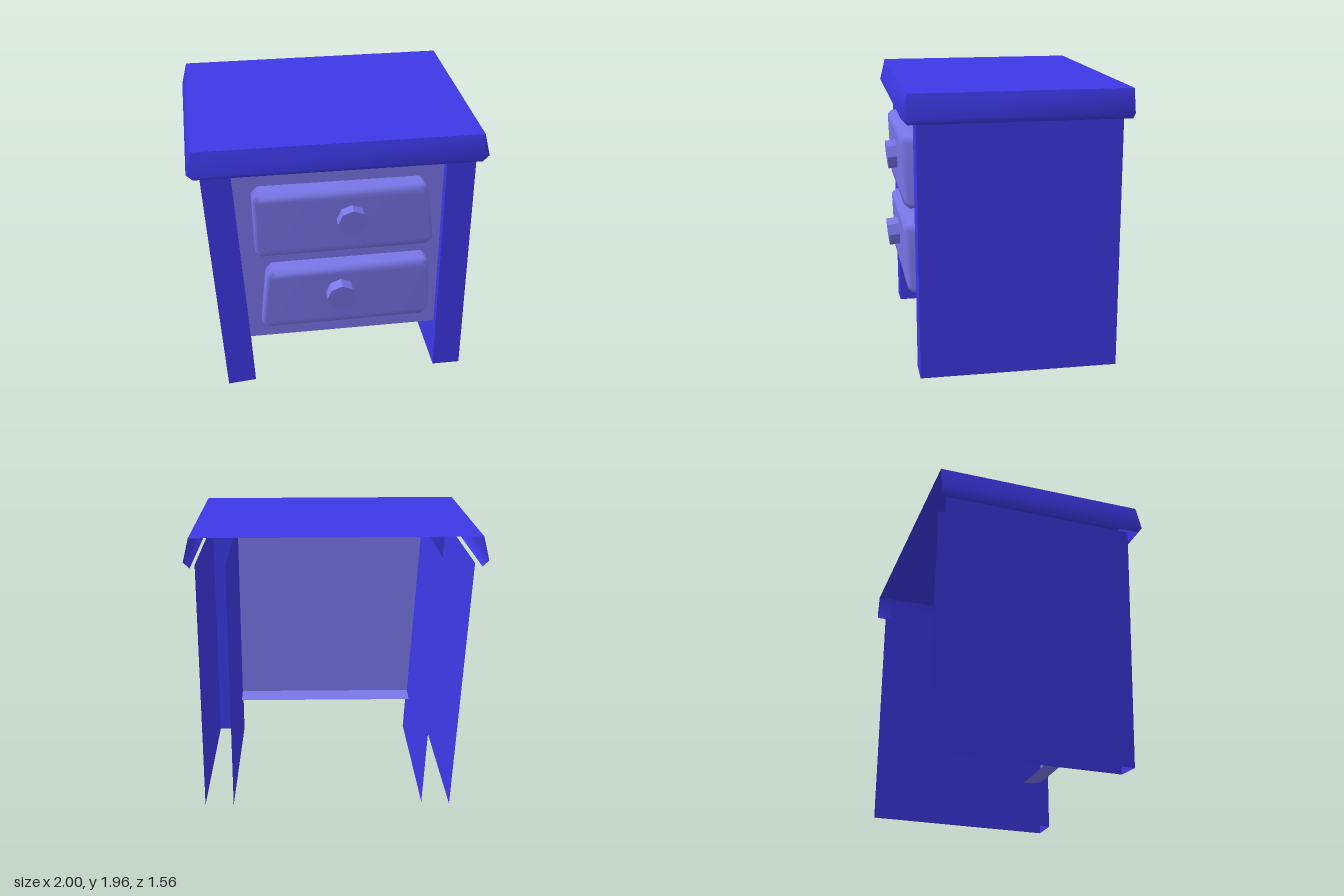
import * as THREE from 'three';

const material = (color, flatShading) =>
  new THREE.MeshStandardMaterial({ color, flatShading, side: THREE.DoubleSide });
const body = material(0x3d38e6, true);
const bodySmooth = material(0x3d38e6, false);
const pale = material(0x7875e8, true);
const paleSmooth = material(0x7875e8, false);

// Skin between rows of points; extra holds additional quads as corner indices.
function loft(name, mat, rows, closed = false, extra = []) {
  const n = rows[0].length;
  const index = [];
  const quad = (a, b, c, d) => index.push(a, b, c, a, c, d);
  for (let r = 0; r < rows.length - 1; r++) {
    for (let i = 0; i < (closed ? n : n - 1); i++) {
      const j = (i + 1) % n;
      quad(r * n + i, r * n + j, (r + 1) * n + j, (r + 1) * n + i);
    }
  }
  extra.forEach((q) => quad(...q));
  const geo = new THREE.BufferGeometry();
  geo.setAttribute('position', new THREE.Float32BufferAttribute(rows.flat(2), 3));
  geo.setIndex(index);
  geo.computeVertexNormals();
  const mesh = new THREE.Mesh(geo, mat);
  mesh.name = name;
  return mesh;
}

// Side support: a channel open at the back, top and bottom.
function sideSupport(name, bottom, top) {
  const section = ([x0, y0, x1, y1]) => [
    [x0, y0, -0.725], [x0, y0, 0.645], [x1, y1, 0.645], [x1, y1, -0.725],
  ];
  return loft(name, body, [section(bottom), section(top)]);
}

// Drawer front: crooked four-corner outline with cut corners and a bevelled rim.
// Corners run counterclockwise from the top right.
function drawerFront(name, corners, zTop, zBottom) {
  const yTop = corners[0][1], yBottom = corners[2][1];
  const cx = corners.reduce((s, c) => s + c[0], 0) / 4;
  const cy = corners.reduce((s, c) => s + c[1], 0) / 4;
  const cut = 0.045;
  const outline = [];
  corners.forEach(([x, y], k) => {
    const flat = [x - Math.sign(x - cx) * cut, y];
    const upright = [x, y - Math.sign(y - cy) * cut];
    outline.push(...(k % 2 ? [flat, upright] : [upright, flat]));
  });
  const row = (inset, depth) => outline.map(([x, y]) => {
    const t = (y - yBottom) / (yTop - yBottom);
    const z = depth === null ? 0.58 : zBottom + (zTop - zBottom) * t - depth;
    return [
      cx + (x - cx) * (1 - inset / 0.6),
      cy + (y - cy) * (1 - inset / 0.25),
      z,
    ];
  });
  const f = 16;
  const cap = [[1, 2, 3, 0], [0, 3, 4, 7], [7, 4, 5, 6]].map((q) => q.map((i) => i + f));
  return loft(name, paleSmooth, [row(0, null), row(0, 0.035), row(0.025, 0)], true, cap);
}

// Eight-sided knob, tipped slightly downwards.
function knob(name, x, y) {
  const mesh = new THREE.Mesh(new THREE.CylinderGeometry(0.103, 0.103, 0.09, 8), pale);
  mesh.rotation.x = Math.PI / 2 + 0.09;
  mesh.position.set(x, y, 0.73);
  mesh.name = name;
  return mesh;
}

export function createModel() {
  const group = new THREE.Group();
  group.name = 'nightstand';

  // Table top: flat sheet and a bevelled rim on three sides
  const ring = (y, xSide, zSide, xFront, zFront) => [
    [-xSide, y, -0.78], [-xSide, y, zSide], [-xFront, y, zFront],
    [xFront, y, zFront], [xSide, y, zSide], [xSide, y, -0.78],
  ];
  group.add(
    loft('topSheet', body, [
      [[-0.96, 1.96, 0.7], [0.96, 1.96, 0.7]],
      [[-0.96, 1.96, -0.78], [0.96, 1.96, -0.78]],
    ]),
    loft('topRim', bodySmooth, [
      ring(1.76, 0.957, 0.7, 0.955, 0.702),
      ring(1.8, 1, 0.7, 0.96, 0.74),
      ring(1.96, 0.96, 0.698, 0.958, 0.7),
    ]),
  );

  // Side supports, one of them leaning
  group.add(
    sideSupport('rightSupport', [-0.81, 0, -0.61, 0.02], [-0.917, 1.77, -0.717, 1.78]),
    sideSupport('leftSupport', [0.73, 0.015, 0.93, 0.015], [0.73, 1.77, 0.93, 1.77]),
  );

  // Recessed front panel with lips folded back at its bottom and top
  const across = (x0, y, z) => [[x0, y, z], [0.73, y + 0.005, z]];
  group.add(loft('frontPanel', pale, [
    across(-0.63, 0.35, 0.43), across(-0.63, 0.372, 0.58),
    across(-0.715, 1.76, 0.58), across(-0.715, 1.76, 0.43),
  ]));

  // Drawers and knobs
  group.add(
    drawerFront('upperDrawer',
      [[0.605, 1.617], [-0.585, 1.617], [-0.575, 1.115], [0.655, 1.125]], 0.715, 0.7),
    drawerFront('lowerDrawer',
      [[0.643, 1.012], [-0.505, 1.003], [-0.545, 0.505], [0.655, 0.515]], 0.705, 0.687),
    knob('upperKnob', 0.08, 1.395),
    knob('lowerKnob', 0.01, 0.795),
  );
  return group;
}
